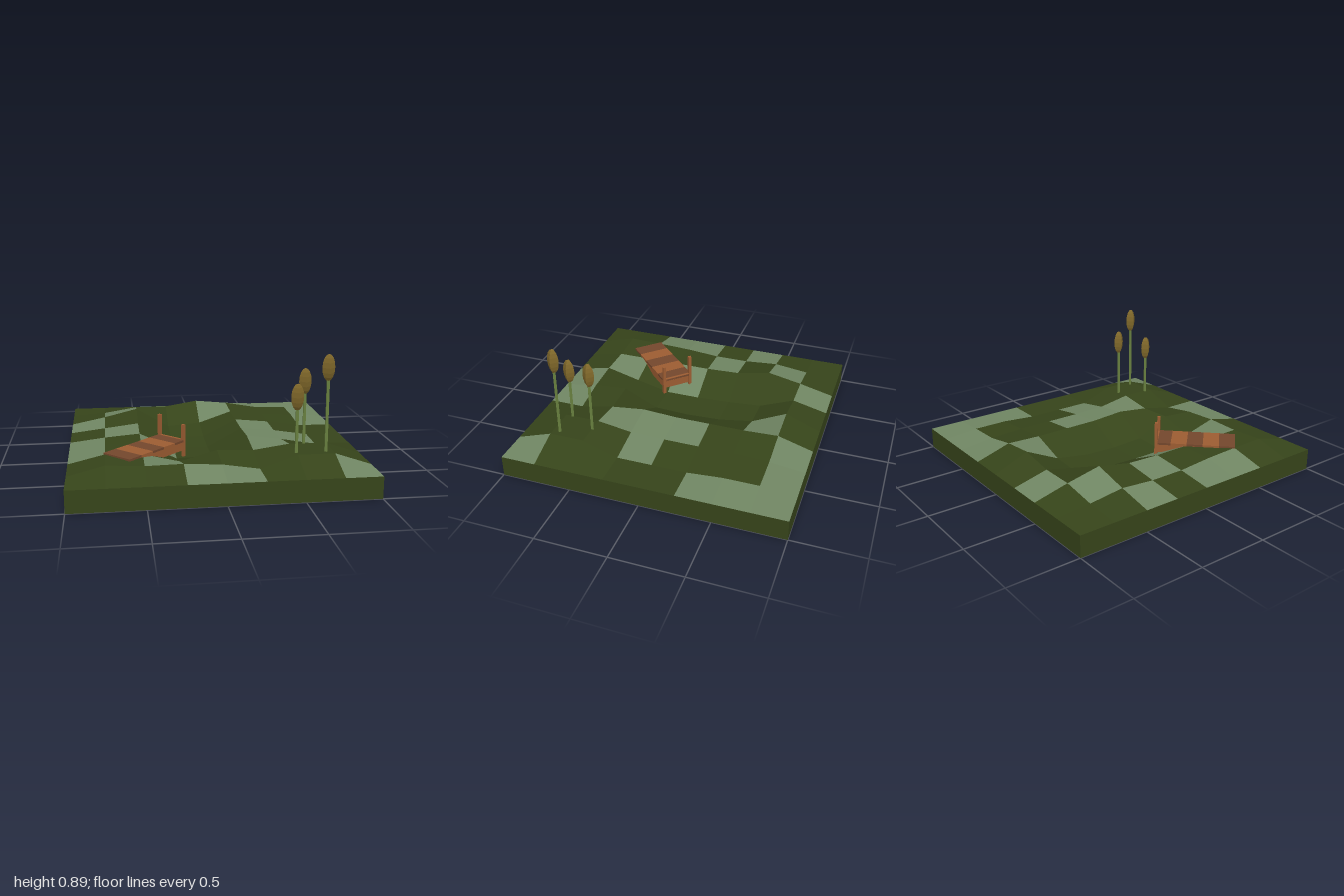
import * as THREE from 'three';

const paint = (color) => new THREE.MeshStandardMaterial({ color, flatShading: true });
const openPaint = (color) => new THREE.MeshStandardMaterial({ color, side: THREE.DoubleSide });

function add(parent, name, geometry, material, x = 0, y = 0, z = 0) {
  const mesh = new THREE.Mesh(geometry, material);
  mesh.name = name;
  mesh.position.set(x, y, z);
  parent.add(mesh);
  return mesh;
}

// Ground heights at the inner grid corners, back row first
const RIM = 0.15;
const HEIGHTS = [
  [.17, .21, .21, .25, .225, .18, .17],
  [.20, .26, .11, .13, .215, .19, .17],
  [.18, .21, .09, .09, .215, .19, .15],
  [.18, .20, .08, .08, .215, .19, .15],
  [.20, .20, .08, .09, .23, .195, .15],
  [.21, .20, .14, .21, .20, .235, .235],
  [.215, .20, .205, .19, .15, .235, .235],
];
// Patch map: L is a pale patch, D is dark grass
const PATCHES = ['DDLDDLLL', 'DLDDLDDL', 'LDDDDDDL', 'DLDDDLDD',
  'LDLDDLLD', 'LDDDDLDD', 'DDLDDDDD', 'DDDLLDDL'];

const corner = (i, j) =>
  new THREE.Vector3(i / 4 - 1, HEIGHTS[j - 1]?.[i - 1] ?? RIM, j / 4 - 1);

// All grid cells of one patch kind; each cell is shaded evenly with one normal
function patchGeometry(kind) {
  const points = [], normals = [];
  PATCHES.forEach((row, j) => [...row].forEach((cell, i) => {
    if (cell !== kind) return;
    const a = corner(i, j), b = corner(i, j + 1);
    const c = corner(i + 1, j + 1), d = corner(i + 1, j);
    const normal = b.clone().sub(d).cross(c.clone().sub(a)).normalize();
    for (const p of [a, b, d, b, c, d]) {
      points.push(p.x, p.y, p.z);
      normals.push(normal.x, normal.y, normal.z);
    }
  }));
  const geometry = new THREE.BufferGeometry();
  geometry.setAttribute('position', new THREE.Float32BufferAttribute(points, 3));
  geometry.setAttribute('normal', new THREE.Float32BufferAttribute(normals, 3));
  return geometry;
}

function createGround() {
  const ground = new THREE.Group();
  ground.name = 'ground';
  const grass = openPaint(0x36441a);
  add(ground, 'darkGrass', patchGeometry('D'), grass);
  add(ground, 'paleGrass', patchGeometry('L'), openPaint(0x708663));
  // Open-bottomed skirt around the plot
  for (let k = 0; k < 4; k++) {
    const angle = k * Math.PI / 2;
    const wall = add(ground, 'sideWall', new THREE.PlaneGeometry(2, RIM), grass,
      Math.sin(angle), RIM / 2, Math.cos(angle));
    wall.rotation.y = angle;
  }
  return ground;
}

function createDock() {
  const dock = new THREE.Group();
  dock.name = 'dock';
  dock.position.set(-0.475, 0, 0.378);
  dock.rotation.y = Math.PI / 4;
  const woods = [paint(0x74472c), paint(0x9c5c32)];
  const length = 0.57, width = 0.236, count = 5, step = length / count;
  add(dock, 'base', new THREE.BoxGeometry(length - 0.01, 0.06, width - 0.012),
    woods[1], 0, 0.175, 0);
  for (let i = 0; i < count; i++) {
    add(dock, 'plank', new THREE.BoxGeometry(step, 0.015, width), woods[i % 2],
      (i - (count - 1) / 2) * step, 0.2125, 0);
  }
  // Cap strip and mooring posts at the water end
  const endX = length / 2 - 0.01;
  add(dock, 'capStrip', new THREE.BoxGeometry(0.02, 0.016, width), woods[1], endX, 0.214, 0);
  for (const [side, top] of [[-1, 0.37], [1, 0.33]]) {
    const height = top - 0.1;
    add(dock, 'post', new THREE.BoxGeometry(0.022, height, 0.022), woods[1],
      endX, 0.1 + height / 2, side * (width / 2 - 0.009));
  }
  return dock;
}

// Reed: thin stem with a four-sided seed head
function createReed(x, z, top) {
  const reed = new THREE.Group();
  reed.name = 'reed';
  reed.position.set(x, 0, z);
  const base = 0.21, headY = top - 0.09, height = headY - base;
  add(reed, 'stem', new THREE.CylinderGeometry(0.011, 0.011, height, 6),
    paint(0x6a8240), 0, base + height / 2, 0);
  add(reed, 'seedHead', new THREE.SphereGeometry(1, 4, 8), paint(0x80682a),
    0, headY, 0).scale.set(0.043, 0.09, 0.043);
  return reed;
}

export function createModel() {
  const model = new THREE.Group();
  model.name = 'pondPlot';
  model.add(createGround(), createDock(),
    createReed(0.5, 0.7, 0.70), createReed(0.6, 0.5, 0.76), createReed(0.7, 0.7, 0.89));
  return model;
}
